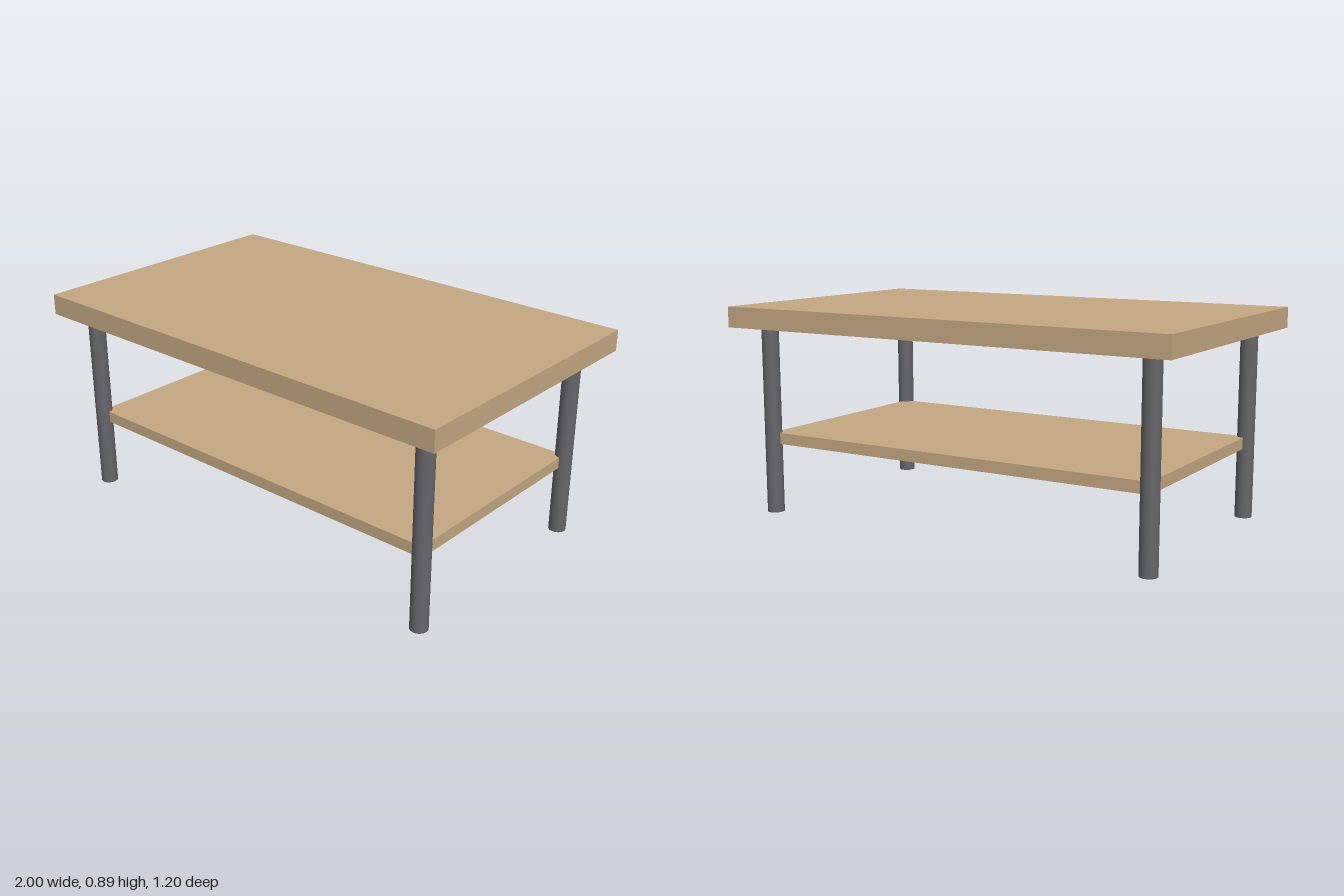
import * as THREE from 'three';

export function createModel() {
  const group = new THREE.Group();
  const wood = new THREE.MeshStandardMaterial({ color: 0xc4a882 });
  const metal = new THREE.MeshStandardMaterial({ color: 0x66666a });
  const legX = 0.88, legZ = 0.48, legRadius = 0.036, legHeight = 0.8;

  // Horizontal board, placed by the height of its underside
  function addBoard(name, width, thickness, depth, bottom) {
    const board = new THREE.Mesh(new THREE.BoxGeometry(width, thickness, depth), wood);
    board.name = name;
    board.position.y = bottom + thickness / 2;
    group.add(board);
  }

  addBoard('tableTop', 2, 0.087, 1.2, legHeight);
  // The shelf's corners sit on the leg axes
  addBoard('lowerShelf', legX * 2, 0.048, legZ * 2, 0.298);

  // Four round legs
  const legGeometry = new THREE.CylinderGeometry(legRadius, legRadius, legHeight, 32);
  for (const [side, x] of [['Left', legX], ['Right', -legX]]) {
    for (const [end, z] of [['front', legZ], ['back', -legZ]]) {
      const leg = new THREE.Mesh(legGeometry, metal);
      leg.name = `${end}${side}Leg`;
      leg.position.set(x, legHeight / 2, z);
      group.add(leg);
    }
  }

  return group;
}
